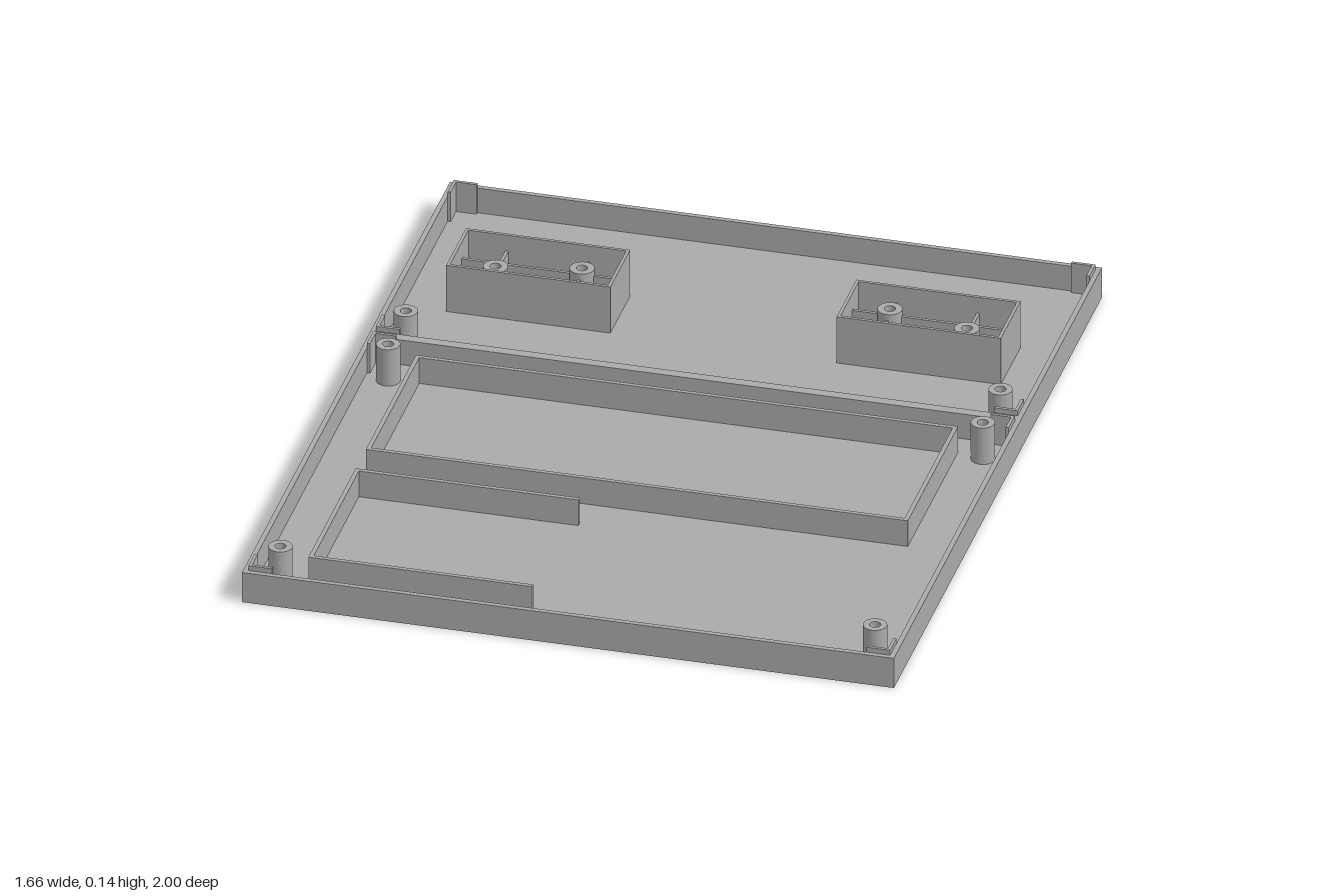
import * as THREE from 'three';

const W = 0.83, WALL = 0.013, FLOOR = 0.014, RIM = 0.084, HOLE = 0.014;
const DIV_BACK = -0.238, DIV_FRONT = -0.212;

export function createModel() {
  const group = new THREE.Group();
  const gray = new THREE.MeshStandardMaterial({ color: 0xaaaaaa });
  gray.name = 'plain gray';

  const add = (name, geometry, parent = group) => {
    const mesh = new THREE.Mesh(geometry, gray);
    mesh.name = name;
    parent.add(mesh);
    return mesh;
  };
  // Box given by its limits
  const block = (name, x0, x1, y0, y1, z0, z1, parent) =>
    add(name, new THREE.BoxGeometry(x1 - x0, y1 - y0, z1 - z0), parent)
      .position.set((x0 + x1) / 2, (y0 + y1) / 2, (z0 + z1) / 2);
  // Closed outline on the ground plane (z runs opposite to shape y)
  const rect = (Type, x0, x1, z0, z1) => new Type([
    [x0, -z1], [x1, -z1], [x1, -z0], [x0, -z0],
  ].map(p => new THREE.Vector2(...p)));
  const circle = (Type, x, z, r) => new Type().absarc(x, -z, r, 0, Math.PI * 2);
  // Raise a ground outline from y0 to y1
  const raise = (name, shape, y0, y1, parent) => {
    const g = new THREE.ExtrudeGeometry(shape, { depth: y1 - y0, bevelEnabled: false, curveSegments: 16 });
    g.rotateX(-Math.PI / 2);
    g.translate(0, y0, 0);
    return add(name, g, parent);
  };
  const frame = (name, x0, x1, z0, z1, t, y0, y1, parent) => {
    const shape = rect(THREE.Shape, x0, x1, z0, z1);
    shape.holes.push(rect(THREE.Path, x0 + t, x1 - t, z0 + t, z1 - t));
    return raise(name, shape, y0, y1, parent);
  };

  const cornerPosts = [], boxPosts = [];
  for (const s of [-1, 1]) {
    for (const z of [-0.3, -0.13, 0.905]) cornerPosts.push([s * 0.757, z]);
    boxPosts.push([s * 0.6, -0.57], [s * 0.392, -0.615]);
  }

  // Floor, drilled through under every post
  const floor = rect(THREE.Shape, -W, W, -1, 1);
  for (const [x, z] of [...cornerPosts, ...boxPosts]) floor.holes.push(circle(THREE.Path, x, z, HOLE));
  raise('floor', floor, 0, FLOOR);

  // Rim with two openings, leaving the dividing wall between them
  const rim = rect(THREE.Shape, -W, W, -1, 1);
  const bays = [[-1 + WALL, DIV_BACK], [DIV_FRONT, 1 - WALL]];
  for (const [z0, z1] of bays) rim.holes.push(rect(THREE.Path, -W + WALL, W - WALL, z0, z1));
  raise('rimWalls', rim, FLOOR, RIM);

  // Hollow screw posts
  const post = (name, x, z, r, top) => {
    const shape = circle(THREE.Shape, x, z, r);
    shape.holes.push(circle(THREE.Path, x, z, HOLE));
    raise(name, shape, FLOOR, top);
  };
  for (const [x, z] of cornerPosts) post('screwPost', x, z, 0.03, 0.117);
  for (const [x, z] of boxPosts) post('boxPost', x, z, 0.031, 0.117);

  // L-shaped locating tabs in each corner of both bays
  const TAB = 0.06, T = 0.008;
  for (const [z0, z1] of bays) {
    for (const sx of [-1, 1]) {
      for (const [z, sz] of [[z0, 1], [z1, -1]]) {
        const x = sx * (W - WALL);
        const corner = new THREE.Group();
        corner.name = 'cornerTab';
        group.add(corner);
        const span = (a, b) => [Math.min(a, b), Math.max(a, b)];
        block('tabAcross', ...span(x, x - sx * TAB), FLOOR, 0.098, ...span(z, z + sz * T), corner);
        block('tabAlong', ...span(x, x - sx * T), FLOOR, 0.098, ...span(z + sz * T, z + sz * TAB), corner);
      }
    }
  }

  // Large closed frame and the three-sided frame in the front bay
  const LOW = 0.087;
  frame('largeFrame', -0.69, 0.69, -0.145, 0.338, 0.011, FLOOR, LOW);
  const u = [[-0.69, 0.435], [-0.12, 0.435], [-0.12, 0.446], [-0.679, 0.446],
    [-0.679, 0.879], [-0.12, 0.879], [-0.12, 0.89], [-0.69, 0.89]];
  raise('openFrame', new THREE.Shape(u.map(([x, z]) => new THREE.Vector2(x, -z))), FLOOR, LOW);

  // Tall ribbed boxes in the back bay
  for (const s of [-1, 1]) {
    const box = new THREE.Group();
    box.name = s < 0 ? 'rightBox' : 'leftBox';
    group.add(box);
    const c = s * 0.497, x0 = c - 0.209, x1 = c + 0.209, z0 = -0.685, z1 = -0.495, t = 0.008;
    frame('boxWalls', x0, x1, z0, z1, t, FLOOR, 0.145, box);
    // Ribs stop at the post they support, so the screw holes stay clear
    const R = 0.025, h = 0.1, r = 0.004;
    const inner = s * 0.392, outer = s * 0.6;
    const cuts = [x0 + t, inner - R, inner + R, x1 - t];
    for (const i of [0, 2]) block('longRib', cuts[i], cuts[i + 1], FLOOR, h, -0.615 - r, -0.615 + r, box);
    for (const [x, z] of [[inner, -0.615], [outer, -0.57]]) {
      block('crossRib', x - r, x + r, FLOOR, h, z0 + t, z - R, box);
      block('crossRib', x - r, x + r, FLOOR, h, z + R, z1 - t, box);
    }
  }
  return group;
}
